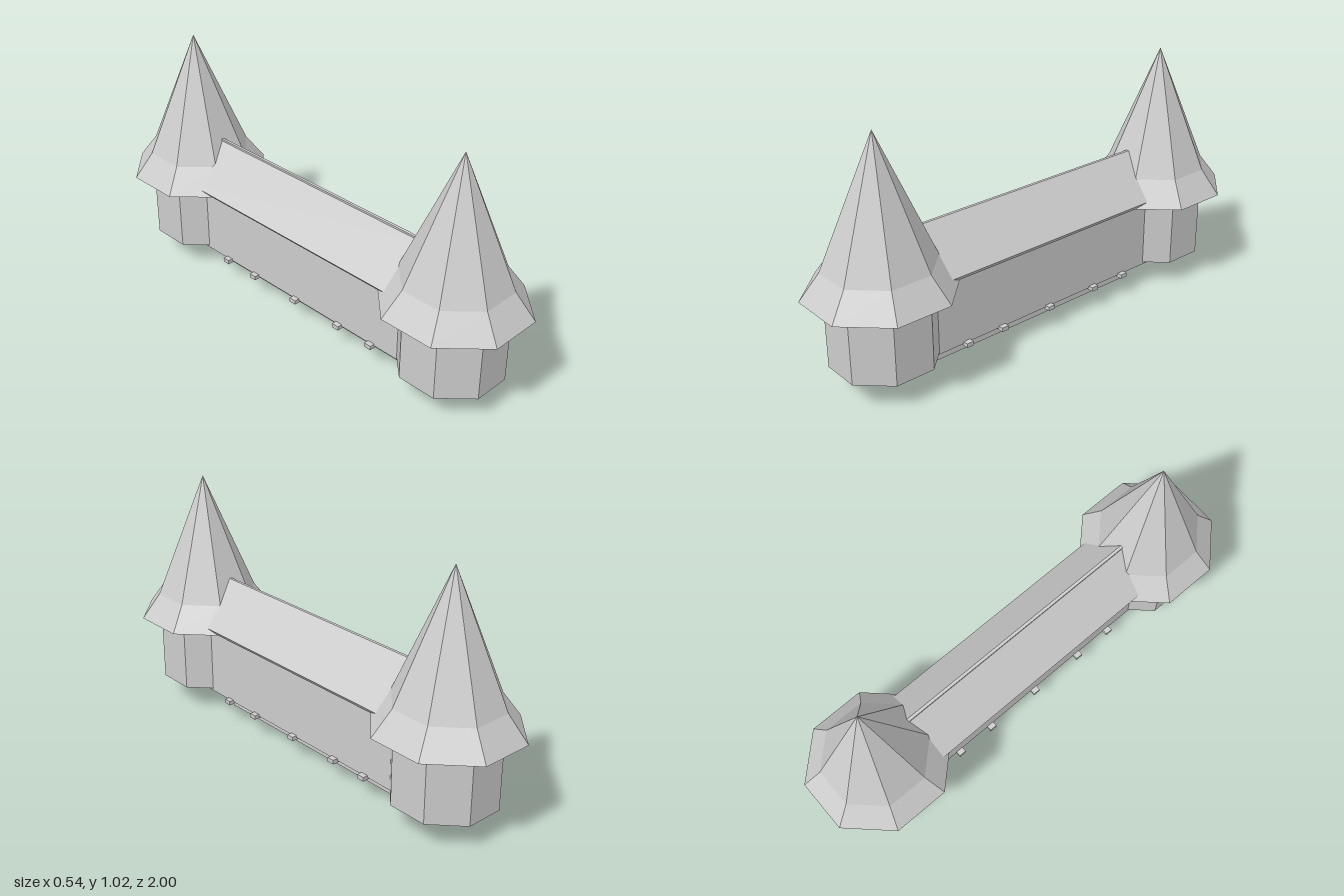
import * as THREE from 'three';

const stone = new THREE.MeshStandardMaterial({ color: 0xcccccc, side: THREE.DoubleSide });
stone.name = 'pale grey';

// Adds a faceted mesh to a parent
function add(parent, name, geometry, x = 0, y = 0, z = 0) {
  const flat = geometry.index ? geometry.toNonIndexed() : geometry;
  flat.computeVertexNormals();
  const mesh = new THREE.Mesh(flat, stone);
  mesh.name = name;
  mesh.position.set(x, y, z);
  parent.add(mesh);
  return mesh;
}

// Eight-sided ring with a flat side to the front; sizes are centre-to-flat
function octagon(top, bottom, y0, y1) {
  const k = 1 / Math.cos(Math.PI / 8);
  const g = new THREE.CylinderGeometry(top * k, bottom * k, y1 - y0, 8, 1, true, Math.PI / 8);
  return g.translate(0, (y0 + y1) / 2, 0);
}

// Cross-section run along z, centred
function prism(points, length) {
  const shape = new THREE.Shape(points.map(([x, y]) => new THREE.Vector2(x, y)));
  return new THREE.ExtrudeGeometry(shape, { depth: length, bevelEnabled: false })
    .translate(0, 0, -length / 2);
}

function createTower(name, z) {
  const tower = new THREE.Group();
  tower.name = name;
  tower.position.z = z;
  tower.scale.x = 0.96;
  add(tower, 'towerWalls', octagon(0.2, 0.2, 0.11, 0.4));
  add(tower, 'eaveSkirt', octagon(0.205, 0.28, 0.4, 0.505));
  add(tower, 'spire', octagon(0, 0.205, 0.505, 1.02));
  const soffit = new THREE.CircleGeometry(0.28 / Math.cos(Math.PI / 8), 8, Math.PI / 8);
  add(tower, 'soffit', soffit.rotateX(Math.PI / 2), 0, 0.4, 0);
  return tower;
}

export function createModel() {
  const model = new THREE.Group();
  model.name = 'twinTowerHall';

  model.add(createTower('frontTower', 0.72), createTower('backTower', -0.72));

  // Hall between the towers
  add(model, 'hall', prism(
    [[-0.11, 0.1], [0.11, 0.1], [0.11, 0.43], [0, 0.55], [-0.11, 0.43]], 1.2));

  // Two roof slabs, one lapping the other at the ridge
  add(model, 'leftRoofSlab', prism(
    [[0.0, 0.6], [-0.012, 0.6], [-0.012, 0.565], [0.135, 0.4], [0.157, 0.425]], 1.2));
  add(model, 'rightRoofSlab', prism(
    [[-0.012, 0.592], [-0.165, 0.425], [-0.143, 0.4], [-0.012, 0.552]], 1.2));

  // Crossbars and posts carrying the rail
  for (const z of [0.42, 0.245, 0, -0.245, -0.415]) {
    add(model, 'crossbar', new THREE.BoxGeometry(0.264, 0.018, 0.032), 0, 0.1, z);
    add(model, 'post', new THREE.BoxGeometry(0.014, 0.075, 0.018), -0.003, 0.062, z - 0.005);
  }

  // Rail, open at both ends
  const rail = new THREE.CylinderGeometry(Math.SQRT1_2, Math.SQRT1_2, 1, 4, 1, true, Math.PI / 4);
  rail.rotateX(Math.PI / 2).scale(0.028, 0.027, 1.07);
  add(model, 'rail', rail, -0.003, 0.0135, 0);

  return model;
}
